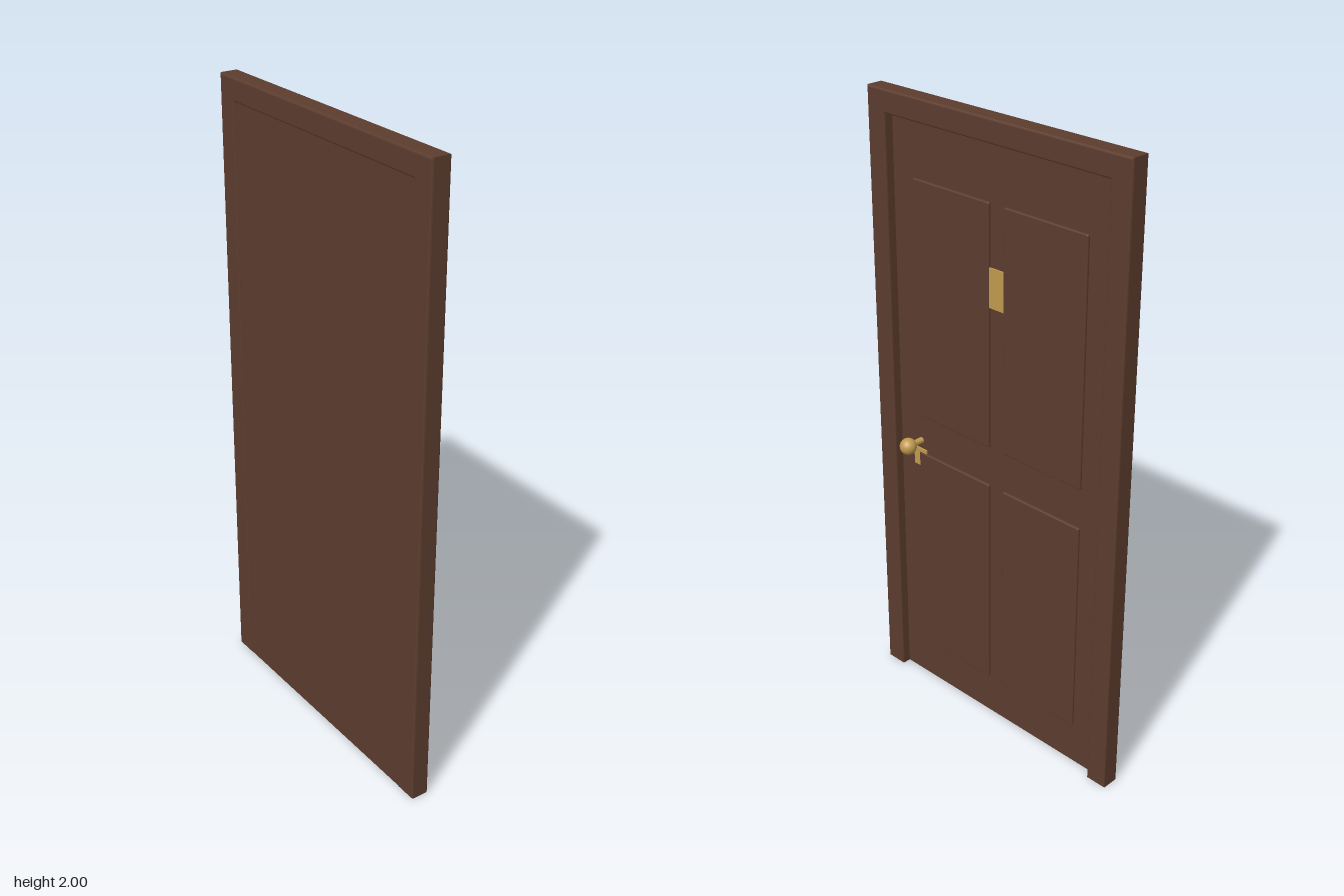
import * as THREE from 'three';
import { RoundedBoxGeometry } from 'three/addons/geometries/RoundedBoxGeometry.js';

export function createModel() {
  const door = new THREE.Group();
  door.name = 'door';
  const wood = new THREE.MeshStandardMaterial({ color: 0x5c3d2e });
  wood.name = 'dark wood';
  const brass = new THREE.MeshStandardMaterial({ color: 0xc09a4f });
  brass.name = 'brass';

  const add = (name, geometry, material, x, y, z) => {
    const mesh = new THREE.Mesh(geometry, material);
    mesh.name = name;
    mesh.position.set(x, y, z);
    door.add(mesh);
    return mesh;
  };

  // Door frame: an upside-down U with softened edges, extruded along x
  const back = -0.058, front = 0.003, bevel = 0.006;
  const outline = [[-0.49, 0], [-0.42, 0], [-0.42, 1.93], [0.42, 1.93],
    [0.42, 0], [0.49, 0], [0.49, 2], [-0.49, 2]];
  const frameShape = new THREE.Shape(outline.map(([u, v]) => new THREE.Vector2(u, v)));
  const frame = new THREE.ExtrudeGeometry(frameShape, {
    depth: front - back - 2 * bevel, bevelThickness: bevel,
    bevelSize: bevel, bevelOffset: -bevel, bevelSegments: 3,
  });
  frame.rotateY(Math.PI / 2);
  add('doorFrame', frame, wood, back + bevel, 0, 0);

  // Leaf, set back from the front of the frame
  const leafBack = -0.054, leafFront = -0.028;
  add('doorLeaf', new THREE.BoxGeometry(leafFront - leafBack, 1.932, 0.842), wood,
    (leafBack + leafFront) / 2, 0.966, 0);

  // Four raised panels
  for (const side of [-1, 1]) {
    for (const [name, bottom, top] of [['upperPanel', 0.99, 1.755], ['lowerPanel', 0.14, 0.86]]) {
      add(name, new RoundedBoxGeometry(0.016, top - bottom, 0.305, 2, 0.004), wood,
        leafFront, (bottom + top) / 2, side * 0.181);
    }
  }

  // Brass number plate and keyhole plate
  add('numberPlate', new THREE.BoxGeometry(0.008, 0.122, 0.06), brass, leafFront + 0.001, 1.503, 0);
  add('keyholePlate', new THREE.BoxGeometry(0.008, 0.062, 0.055), brass, leafFront + 0.001, 0.841, 0.332);

  // Door knob on its spindle
  const knobX = 0.03, knobY = 0.9, knobZ = 0.33;
  const spindle = new THREE.CylinderGeometry(0.01, 0.01, knobX - leafFront, 16);
  spindle.rotateZ(Math.PI / 2);
  add('knobSpindle', spindle, brass, (knobX + leafFront) / 2, knobY, knobZ);
  add('doorKnob', new THREE.SphereGeometry(0.027, 24, 16), brass, knobX, knobY, knobZ);

  return door;
}
